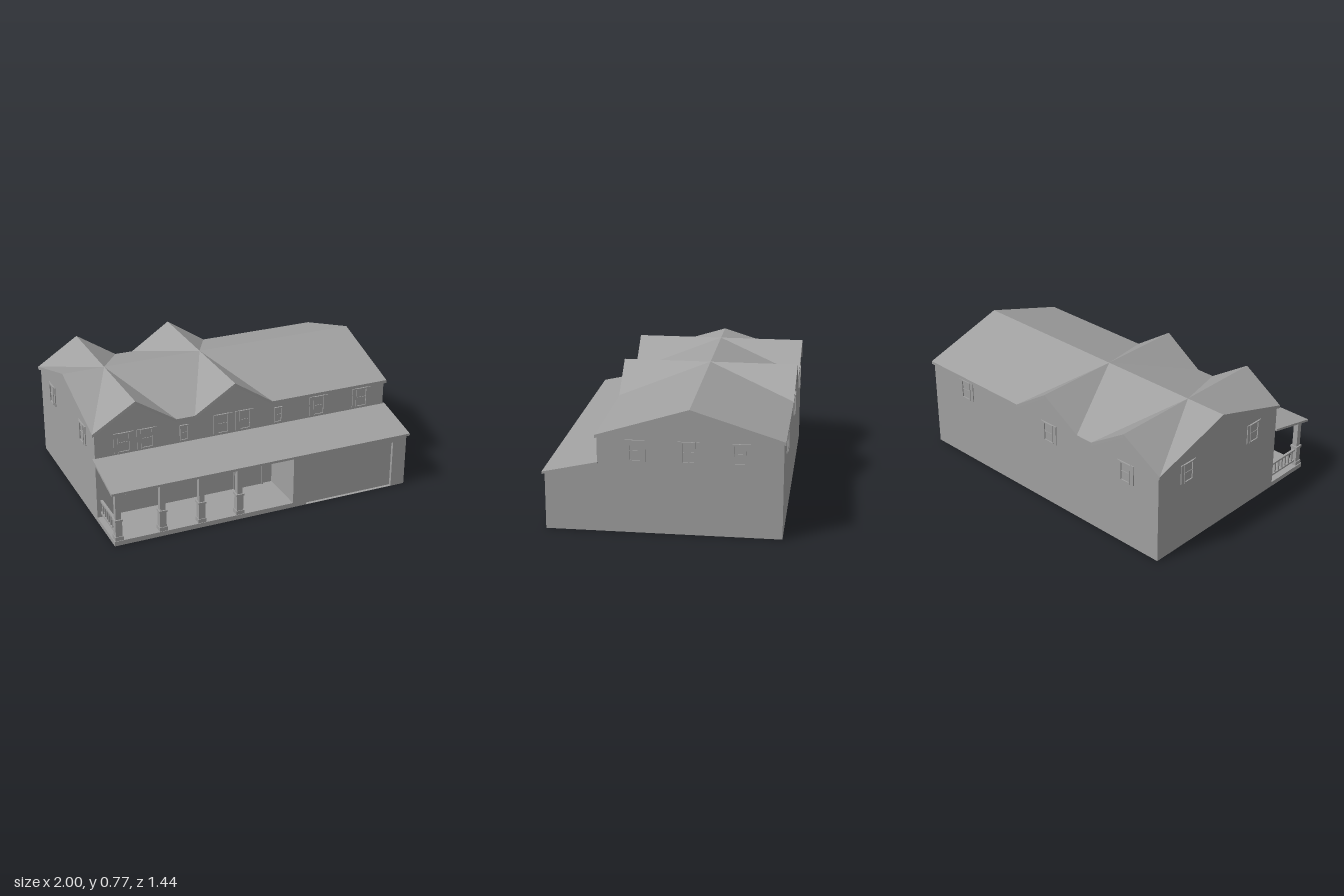
import * as THREE from 'three';

export function createModel() {
  const house = new THREE.Group();
  house.name = 'house';
  const grey = new THREE.MeshStandardMaterial({ color: 0xa0a0a0, side: THREE.DoubleSide });
  grey.name = 'plain grey';

  const add = (name, geo, parent = house) => {
    const m = new THREE.Mesh(geo, grey);
    m.name = name;
    parent.add(m);
    return m;
  };
  const box = (name, w, h, d, x, y, z, parent) => {
    const m = add(name, new THREE.BoxGeometry(w, h, d), parent);
    m.position.set(x, y, z);
    return m;
  };
  const shape = (pts) => new THREE.Shape(pts.map(([x, y]) => new THREE.Vector2(x, y)));

  // Main dimensions
  const WX = 0.985, FRONT = 0.39, BACK = -0.70, MID = -0.155, GARAGE = 0.705;
  const RIDGE = 0.772, EAVE = 0.6, THICK = 0.02;
  const peaks = [-0.725, -0.075];

  // Eave line with its two gables
  const eave = [[-1, EAVE], [peaks[0], RIDGE], [-0.46, EAVE], [-0.34, EAVE],
    [peaks[1], RIDGE], [0.185, EAVE], [1, EAVE]];

  // Roof: two mirrored halves, each a skin, an underside and a fascia
  const tris = [];
  const quad = (a, b, c, d) => tris.push(a, b, c, a, c, d);
  for (const s of [1, -1]) {
    const E = eave.map(([x, y]) => [x, y, MID + s * (y > 0.7 ? 0.562 : 0.555)]);
    const R = [-1, ...peaks, 1].map((x) => [x, RIDGE, MID]);
    const down = (p) => [p[0], p[1] - THICK, p[2]];
    for (const f of [(p) => p, down]) {
      const e = E.map(f), r = R.map(f);
      tris.push(e[0], r[1], r[0]);
      tris.push(e[0], e[1], r[1], e[1], e[2], r[1]);
      quad(e[2], e[3], r[2], r[1]);
      tris.push(e[3], e[4], r[2], e[4], e[5], r[2]);
      quad(e[5], e[6], r[3], r[2]);
    }
    const edge = [R[0], ...E, R[3]];
    for (let i = 0; i < edge.length - 1; i++) {
      quad(edge[i], down(edge[i]), down(edge[i + 1]), edge[i + 1]);
    }
  }
  const roofGeo = new THREE.BufferGeometry();
  roofGeo.setAttribute('position', new THREE.Float32BufferAttribute(tris.flat(), 3));
  roofGeo.computeVertexNormals();
  add('roof', roofGeo);

  // Front and back walls follow the underside of the eaves
  const wallTop = eave.map(([x, y]) => [Math.max(-WX, Math.min(WX, x)), y - THICK + 0.002]).reverse();
  add('frontWall', new THREE.ShapeGeometry(shape(
    [[-WX, 0], [0.19, 0], [0.19, 0.42], [WX, 0.42], ...wallTop]))).position.z = FRONT;
  add('backWall', new THREE.ShapeGeometry(shape([[-WX, 0], [WX, 0], ...wallTop]))).position.z = BACK;

  // Side walls, drawn with z across and turned into place
  const sideWall = (name, x, frontPts) => {
    const geo = new THREE.ShapeGeometry(shape([[-BACK, 0], ...frontPts,
      [-FRONT, EAVE - 0.02], [-MID, RIDGE - 0.02], [-BACK, EAVE - 0.02]]));
    geo.rotateY(Math.PI / 2);
    add(name, geo).position.x = x;
  };
  sideWall('leftWall', WX, [[-GARAGE, 0], [-GARAGE, 0.347], [-FRONT, 0.417]]);
  sideWall('rightWall', -WX, [[-FRONT, 0]]);

  // Porch roof slab across the whole front
  const slab = new THREE.ExtrudeGeometry(shape(
    [[-0.72, 0.345], [-0.72, 0.36], [-0.385, 0.434], [-0.385, 0.419]]),
  { depth: 2, bevelEnabled: false });
  slab.rotateY(Math.PI / 2);
  add('porchRoof', slab).position.x = -1;

  // Garage front with a recessed door
  const garage = shape([[0.19, 0], [WX, 0], [WX, 0.347], [0.19, 0.347]]);
  garage.holes.push(new THREE.Path([[0.28, 0], [0.28, 0.31], [0.89, 0.31], [0.89, 0]]
    .map(([x, y]) => new THREE.Vector2(x, y + 0.001))));
  add('garageFront', new THREE.ExtrudeGeometry(garage, { depth: 0.02, bevelEnabled: false }))
    .position.z = GARAGE - 0.02;
  box('garageDoor', 0.61, 0.31, 0.004, 0.585, 0.155, GARAGE - 0.022);
  const inner = new THREE.ShapeGeometry(shape(
    [[-GARAGE, 0], [-FRONT, 0], [-FRONT, 0.417], [-GARAGE, 0.347]]));
  inner.rotateY(Math.PI / 2);
  add('garageSideWall', inner).position.x = 0.19;

  // Porch floor and its columns
  box('porchFloor', 0.19 + WX, 0.03, GARAGE - FRONT, (0.19 - WX) / 2, 0.015, (GARAGE + FRONT) / 2);
  for (const x of [-0.953, -0.672, -0.42, -0.168]) {
    const column = new THREE.Group();
    column.name = 'porchColumn';
    column.position.set(x, 0, 0.675);
    house.add(column);
    box('columnPlinth', 0.052, 0.025, 0.052, 0, 0.0425, 0, column);
    box('columnPedestal', 0.042, 0.11, 0.042, 0, 0.105, 0, column);
    box('columnCap', 0.052, 0.012, 0.052, 0, 0.162, 0, column);
    box('columnShaft', 0.034, 0.178, 0.034, 0, 0.255, 0, column);
    box('columnHead', 0.044, 0.012, 0.044, 0, 0.338, 0, column);
  }

  // Railing at the open end of the porch
  for (const y of [0.06, 0.14]) box('porchRail', 0.016, 0.012, 0.27, -0.955, y, 0.525);
  for (let i = 0; i < 7; i++) box('baluster', 0.011, 0.08, 0.011, -0.955, 0.1, 0.42 + i * 0.035);

  // Window with frame, pane, meeting rail and optional shutters (1 = its +x side, -1 = other)
  const windowAt = (x, y, z, turn, { w = 0.08, h = 0.13, shutters = [] } = {}) => {
    const g = new THREE.Group();
    g.name = 'window';
    g.position.set(x, y, z);
    g.rotation.y = turn;
    house.add(g);
    const t = 0.008;
    box('windowPane', w, h, 0.003, 0, 0, 0.001, g);
    box('meetingRail', w, 0.006, 0.006, 0, 0, 0.003, g);
    for (const s of [-1, 1]) {
      box('windowStile', t, h, 0.01, s * (w - t) / 2, 0, 0.005, g);
      box('windowRail', w, t, 0.01, 0, s * (h - t) / 2, 0.005, g);
    }
    for (const s of shutters) box('shutter', 0.024, h, 0.006, s * (w / 2 + 0.012), 0, 0.003, g);
  };
  const both = { shutters: [-1, 1] };
  const Y = 0.51;

  // Upper front windows: two shuttered pairs, two small ones and two wide ones
  for (const [a, b] of [[-0.8, -0.652], [-0.152, -0.003]]) {
    windowAt(a, Y, FRONT, 0, both);
    windowAt(b, Y, FRONT, 0, both);
  }
  for (const x of [-0.41, 0.228]) windowAt(x, 0.498, FRONT, 0, { w: 0.055, h: 0.105 });
  for (const x of [0.513, 0.822]) windowAt(x, Y, FRONT, 0, both);

  // Porch windows and front door
  for (const x of [-0.823, -0.55]) windowAt(x, 0.215, FRONT, 0);
  box('frontDoor', 0.18, 0.285, 0.006, 0.025, 0.1725, FRONT + 0.003);
  for (const x of [-0.07, 0.12]) box('doorJamb', 0.012, 0.295, 0.012, x, 0.1775, FRONT + 0.006);
  box('doorHead', 0.202, 0.01, 0.012, 0.025, 0.322, FRONT + 0.006);

  // Side and back windows
  for (const z of [0.165, -0.148, -0.445]) windowAt(WX, Y, z, Math.PI / 2, both);
  for (const z of [0.165, -0.445]) windowAt(-WX, Y, z, -Math.PI / 2, both);
  for (const x of [0.67, -0.09, -0.73]) windowAt(x, Y, BACK, Math.PI, both);

  return house;
}
